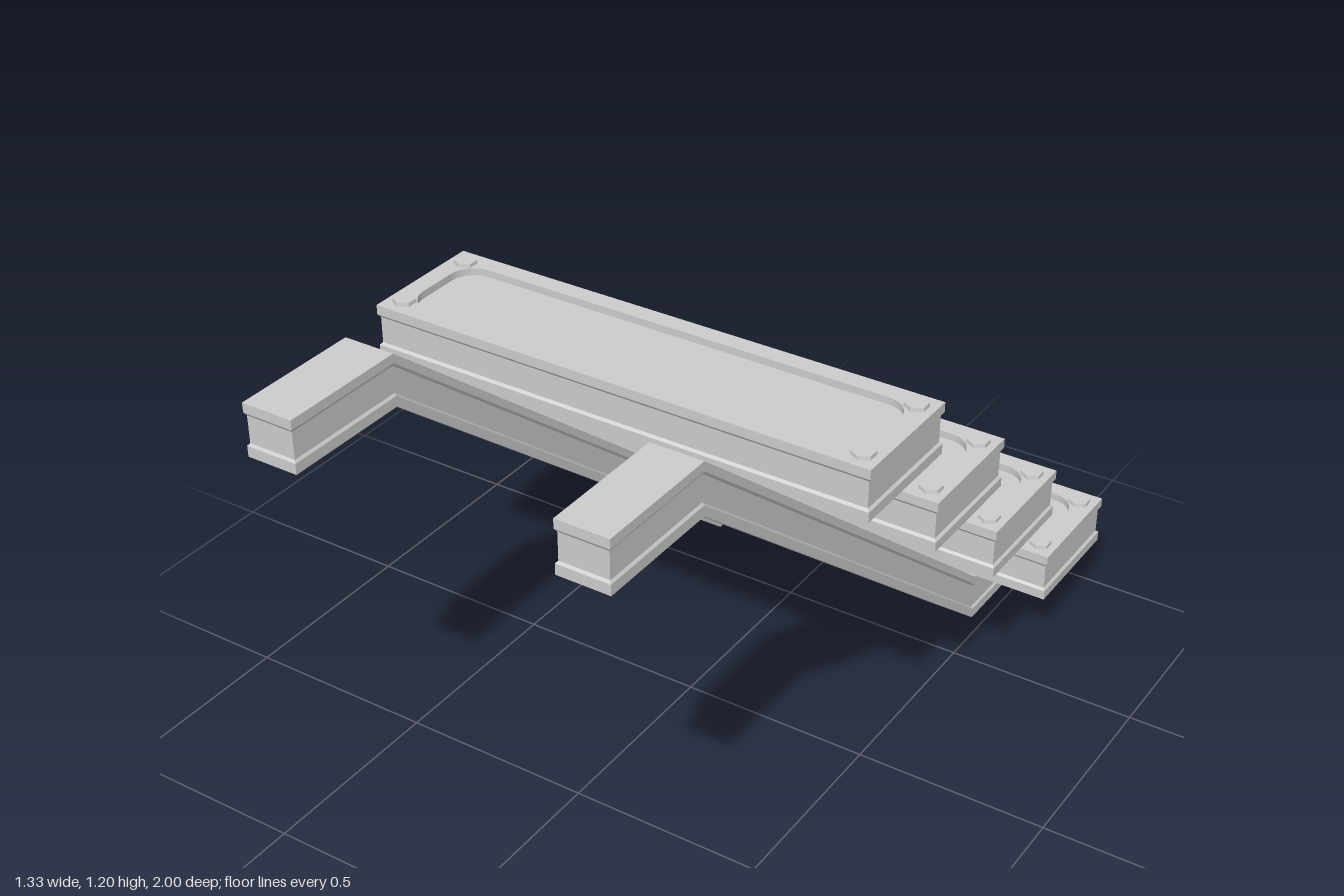
import * as THREE from 'three';

const material = new THREE.MeshStandardMaterial({ color: 0xcccccc, flatShading: true, side: THREE.DoubleSide });

// Sweeps a stack of [inset, height] levels round a strip that follows path points [z, y].
function flangedStrip(path, halfWidth, levels, capped) {
  const n = path.length;
  const rings = levels.map(([inset, h]) => {
    const side = path.map(([z, y], i) => {
      const shift = i === 0 ? -inset : i === n - 1 ? inset : 0;
      return new THREE.Vector3(halfWidth - inset, y + h, z + shift);
    });
    const mirrored = side.map((p) => new THREE.Vector3(-p.x, p.y, p.z)).reverse();
    return [...side, ...mirrored];
  });
  const corners = [];
  for (let k = 0; k < rings.length - 1; k++) {
    for (let i = 0; i < 2 * n; i++) {
      const j = (i + 1) % (2 * n);
      const a = rings[k][i], b = rings[k][j], c = rings[k + 1][i], d = rings[k + 1][j];
      corners.push(a, c, b, b, c, d);
    }
  }
  if (capped) {
    const top = rings[0], bottom = rings[rings.length - 1];
    for (let i = 0; i < n - 1; i++) {
      const l = 2 * n - 1 - i;
      corners.push(top[l], top[i], top[i + 1], top[l], top[i + 1], top[l - 1]);
      corners.push(bottom[l], bottom[i + 1], bottom[i], bottom[l], bottom[l - 1], bottom[i + 1]);
    }
  }
  const geometry = new THREE.BufferGeometry().setFromPoints(corners);
  geometry.computeVertexNormals();
  return geometry;
}

function roundedOutline(target, hx, hy, r) {
  target.absarc(hx - r, hy - r, r, 0, Math.PI / 2);
  target.absarc(-hx + r, hy - r, r, Math.PI / 2, Math.PI);
  target.absarc(-hx + r, -hy + r, r, Math.PI, Math.PI * 1.5);
  target.absarc(hx - r, -hy + r, r, Math.PI * 1.5, Math.PI * 2);
  target.closePath();
  return target;
}

// Horizontal plate with its underside at height y.
function plate(shape, y, thickness) {
  return new THREE.ExtrudeGeometry(shape, { depth: thickness, bevelEnabled: false, curveSegments: 6 })
    .rotateX(-Math.PI / 2)
    .translate(0, y, 0);
}

function addMesh(parent, name, geometry) {
  const mesh = new THREE.Mesh(geometry, material);
  mesh.name = name;
  parent.add(mesh);
  return mesh;
}

export function createModel() {
  const model = new THREE.Group();
  model.name = 'openStaircase';

  // Sloping support beams with flat landings at both ends
  const beamPath = [[1, 1.067], [0.667, 1.067], [-0.667, 0], [-1, 0]];
  const beamLevels = [[0, 0.133], [0, 0.109], [0.005, 0.101], [0.005, 0.033], [0, 0.027], [0, 0]];
  const beamGeometry = flangedStrip(beamPath, 0.0667, beamLevels, true);
  for (const side of [-1, 1]) {
    addMesh(model, side > 0 ? 'leftBeam' : 'rightBeam', beamGeometry).position.x = side * 0.4;
  }

  // Hollow tread skirt: outer web, bottom lip and inner wall
  const hx = 0.667, hz = 0.1665;
  const skirtLevels = [[0, 0.108], [0.006, 0.1], [0.006, 0.032], [0, 0.026], [0, 0], [0.02, 0], [0.02, 0.108]];
  const skirtGeometry = flangedStrip([[hz, 0], [-hz, 0]], hx, skirtLevels, false);

  // Tread rim with a rounded opening, and the sunken panel inside it
  const rim = new THREE.Shape([
    new THREE.Vector2(-hx, -hz), new THREE.Vector2(hx, -hz),
    new THREE.Vector2(hx, hz), new THREE.Vector2(-hx, hz),
  ]);
  rim.holes.push(roundedOutline(new THREE.Path(), 0.617, 0.118, 0.065));
  const rimGeometry = plate(rim, 0.108, 0.025);
  const panelGeometry = plate(roundedOutline(new THREE.Shape(), 0.62, 0.121, 0.067), 0.1, 0.014);
  const boltGeometry = new THREE.CylinderGeometry(0.028, 0.03, 0.012, 6);

  for (let k = 0; k < 4; k++) {
    const step = new THREE.Group();
    step.name = `step${k + 1}`;
    step.position.set(0, 0.1365 + k * 0.2667, -0.8335 + k * 0.3333);
    addMesh(step, 'treadSkirt', skirtGeometry);
    addMesh(step, 'treadRim', rimGeometry);
    addMesh(step, 'treadPanel', panelGeometry);
    // Hexagonal corner bolts
    for (const sx of [-1, 1]) {
      for (const sz of [-1, 1]) {
        addMesh(step, 'bolt', boltGeometry).position.set(sx * 0.622, 0.136, sz * 0.118);
      }
    }
    model.add(step);
  }
  return model;
}
